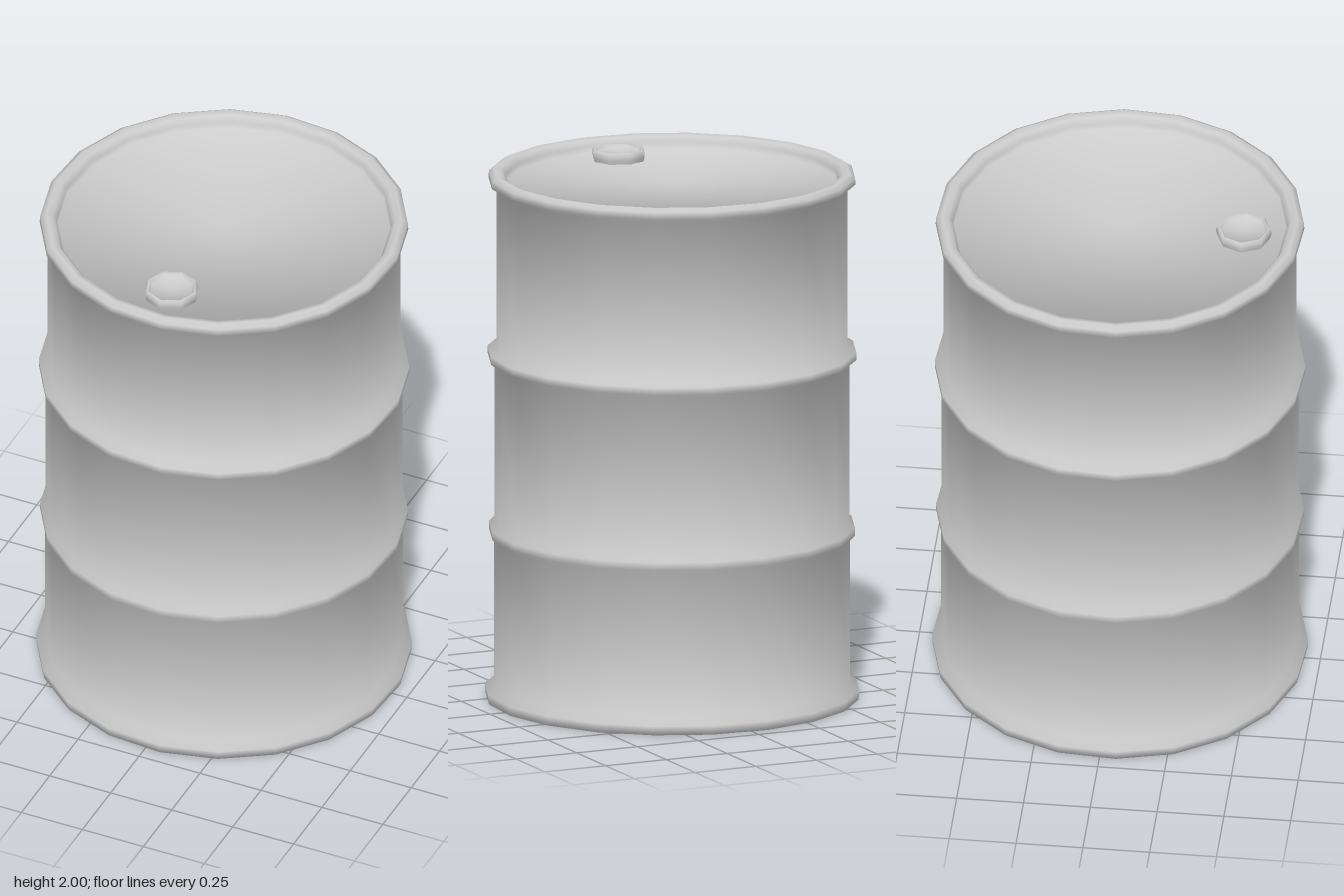
import * as THREE from 'three';

// Turned part from a [radius, height] profile. Each profile point's normal is the
// plain average of its two neighbouring slopes, so bends shade softly into flats.
function turned(name, profile, sides, turn) {
  const points = profile.map(([r, y]) => new THREE.Vector2(r, y));
  const slopes = points.slice(1).map((p, i) =>
    new THREE.Vector2(p.y - points[i].y, points[i].x - p.x).normalize());
  const normals = points.map((p, i) => {
    const before = slopes[Math.max(i - 1, 0)];
    const after = slopes[Math.min(i, slopes.length - 1)];
    return before.clone().add(after).normalize();
  });

  const start = THREE.MathUtils.degToRad(turn);
  const geometry = new THREE.LatheGeometry(points, sides, start);
  for (let i = 0; i <= sides; i++) {
    const angle = start + (i / sides) * Math.PI * 2;
    normals.forEach((n, j) => geometry.attributes.normal.setXYZ(
      i * points.length + j, n.x * Math.sin(angle), n.y, n.x * Math.cos(angle)));
  }

  const mesh = new THREE.Mesh(geometry, new THREE.MeshStandardMaterial({ color: 0xcccccc }));
  mesh.name = name;
  return mesh;
}

// Bevelled hoop rising out of the wall, as a stretch of profile
const hoop = (wallBelow, wallAbove, outer, y) => [
  [wallBelow, y - 0.034], [outer, y - 0.014], [outer, y + 0.014], [wallAbove, y + 0.034],
];

export function createModel() {
  const drum = new THREE.Group();
  drum.name = 'drum';

  // Floor, flared foot, wall with two hoops, rounded rim and sunken lid
  drum.add(turned('drumBody', [
    [0, 0], [0.697, 0], [0.7, 0.034], [0.666, 0.062],
    ...hoop(0.666, 0.664, 0.684, 0.638),
    ...hoop(0.664, 0.656, 0.689, 1.306),
    [0.656, 1.942], [0.686, 1.96], [0.684, 1.986], [0.662, 2], [0.638, 1.994], [0.622, 1.972],
    [0.62, 1.95], [0, 1.95],
  ], 20, 185));

  // Eight-sided filler cap with a dished top
  const cap = turned('fillerCap', [
    [0.097, 1.945], [0.103, 1.965], [0.103, 1.982], [0.095, 1.993],
    [0.086, 1.988], [0.082, 1.978], [0, 1.978],
  ], 8, 0);
  cap.position.z = 0.463;
  drum.add(cap);

  return drum;
}
